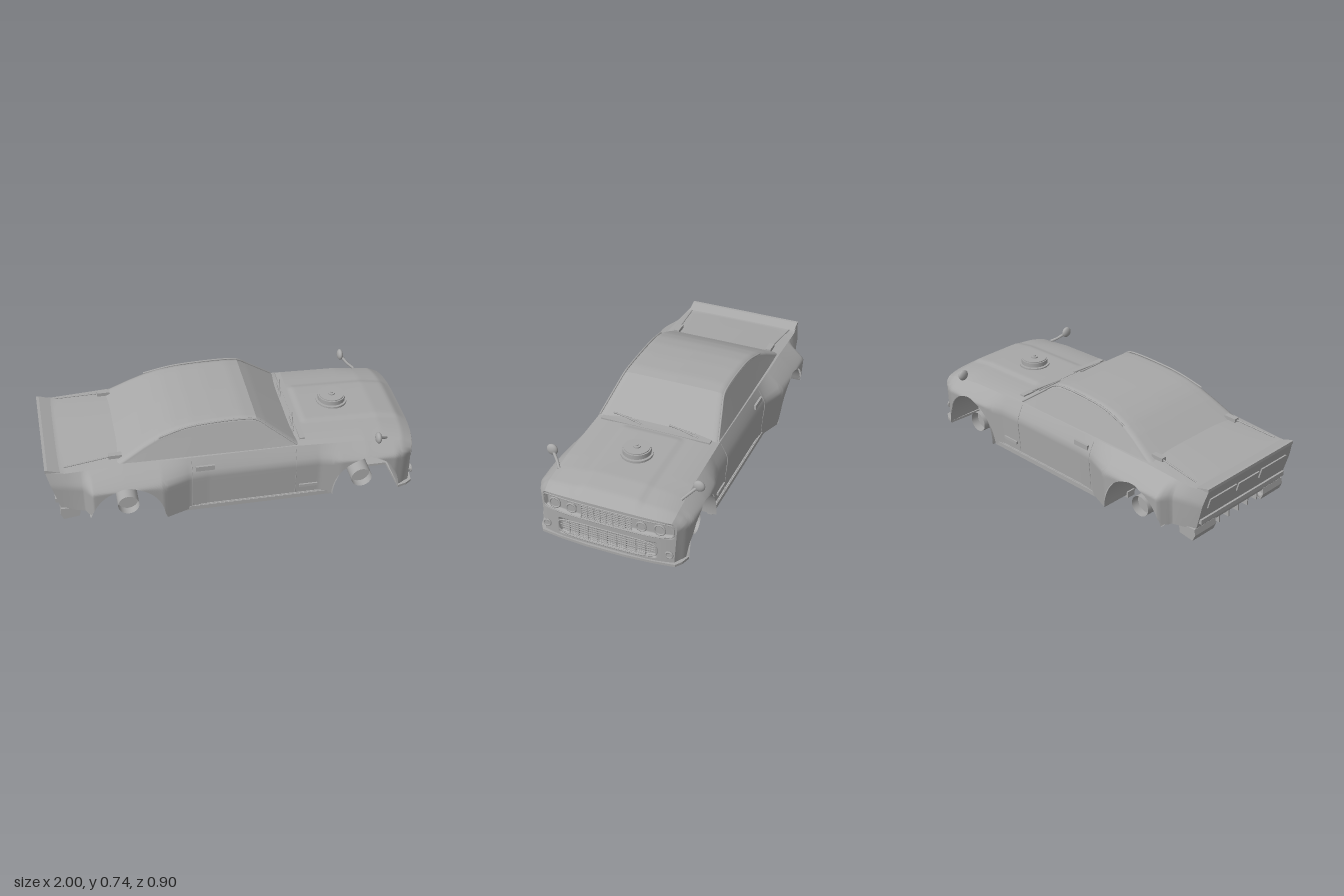
import * as THREE from 'three';

const gray = new THREE.MeshStandardMaterial({ color: 0xa8a8a8, side: THREE.DoubleSide });
gray.name = 'bodyGray';
const smooth = THREE.MathUtils.smoothstep;
const shape = pts => new THREE.Shape(pts.map(p => new THREE.Vector2(...p)));
const extrude = (pts, depth) => new THREE.ExtrudeGeometry(shape(pts), { depth, bevelEnabled: false });

// piecewise-linear lookup through [x, value] pairs
function lin(t, x) {
  if (x <= t[0][0]) return t[0][1];
  const i = t.findIndex(p => x <= p[0]);
  return i < 0 ? t[t.length - 1][1] : THREE.MathUtils.mapLinear(x, t[i - 1][0], t[i][0], t[i - 1][1], t[i][1]);
}
// smooth surface from a grid of points fn(u, v), u and v in 0..1
function surface(nu, nv, fn) {
  const pos = [], idx = [];
  for (let i = 0; i <= nu; i++) for (let j = 0; j <= nv; j++) {
    pos.push(...fn(i / nu, j / nv));
    const a = i * (nv + 1) + j, b = a + nv + 1;
    if (i < nu && j < nv) idx.push(a, b, a + 1, b, b + 1, a + 1);
  }
  const g = new THREE.BufferGeometry();
  g.setAttribute('position', new THREE.Float32BufferAttribute(pos, 3));
  g.setIndex(idx);
  g.computeVertexNormals();
  return g;
}

// body shape rules
const X0 = -1, X1 = 0.955, N = 196;
const width = x => lin([[-1, 0.345], [-0.9, 0.365], [-0.81, 0.385], [-0.77, 0.45], [-0.4, 0.45], [-0.25, 0.395],
  [-0.15, 0.387], [0.45, 0.387], [0.56, 0.415], [0.7, 0.425], [0.86, 0.42], [0.91, 0.4], [0.955, 0.37]], x);
const shoulder = x => lin([[-1, 0.33], [-0.9, 0.345], [-0.5, 0.35], [0.3, 0.345], [0.9, 0.35], [0.955, 0.345]], x);
const shoulderY = x => lin([[-1, 0.56], [-0.9, 0.55], [-0.6, 0.565], [0.3, 0.56], [0.7, 0.545], [0.9, 0.52], [0.955, 0.495]], x);
const crownY = x => lin([[-1, 0.565], [-0.92, 0.553], [-0.6, 0.58], [0.33, 0.58], [0.8, 0.565], [0.9, 0.545], [0.955, 0.512]], x);
const ARCHES = [[-0.59, 0.2], [0.705, 0.185]];
function bottom(x) {
  const arch = ([c, r]) => 0.245 + 0.235 * Math.sqrt(Math.max(0, 1 - ((x - c) / r) ** 2));
  return Math.max(x < -0.73 ? 0.31 : 0.245, ...ARCHES.map(arch));
}
function sideZ(x, y) {
  const W = width(x);
  if (y < 0.47) return W - 0.015 * (0.47 - y) / 0.225;
  const k = Math.min(1, (y - 0.47) / Math.max(0.02, shoulderY(x) - 0.47));
  return THREE.MathUtils.lerp(W, shoulder(x), Math.pow(k, 1.2));
}
const bulge = z => 0.033 * (1 - Math.min(1, Math.abs(z) / 0.37) ** 4);
const noseX = z => X1 + bulge(z);
// slope the tail forward towards the bottom and bow the nose
function bend(x, y, z) {
  const slope = x < -0.8 ? ((-0.8 - x) / 0.2) * 0.27 * (0.565 - y) : 0;
  return [x + slope + bulge(z) * smooth(x, 0.7, X1), y, z];
}
function topPoint(x, u) {
  const z = u * shoulder(x);
  const raised = 0.008 * (1 - smooth(Math.abs(z), 0.15, 0.18)) * smooth(x, 0.38, 0.42) * (1 - smooth(x, 0.88, 0.95));
  return bend(x, shoulderY(x) + (crownY(x) - shoulderY(x)) * (1 - u ** 4) + raised, z);
}

export function createModel() {
  const root = new THREE.Group();
  const add = (name, geo, x = 0, y = 0, z = 0, parent = root) => {
    const m = new THREE.Mesh(geo, gray);
    m.name = name;
    m.position.set(x, y, z);
    parent.add(m);
    return m;
  };
  const box = (name, w, h, d, x, y, z) => add(name, new THREE.BoxGeometry(w, h, d), x, y, z);
  const cyl = (r, h, axis = 'y', open = false) => {
    const g = new THREE.CylinderGeometry(r, r, h, 28, 1, open);
    if (axis === 'x') g.rotateZ(-Math.PI / 2);
    if (axis === 'z') g.rotateX(Math.PI / 2);
    return g;
  };
  const tube = (name, pts, r, closed = false, n = 32) => add(name, new THREE.TubeGeometry(
    new THREE.CatmullRomCurve3(pts.map(p => new THREE.Vector3(...p)), closed, 'centripetal'), n, r, 8, closed));

  // painted shell
  for (const s of [1, -1]) add('bodySide', surface(N, 14, (u, v) => {
    const x = X0 + u * (X1 - X0), yb = bottom(x), y = yb + (shoulderY(x) - yb) * v;
    return bend(x, y, s * sideZ(x, y));
  }));
  add('hoodAndDeck', surface(N, 48, (u, v) => topPoint(X0 + u * (X1 - X0), v * 2 - 1)));
  // nose with recessed lamp band and lower intake, then the tail
  const pocket = (z, y, zw, y0, y1) => (1 - smooth(Math.abs(z), zw - 0.008, zw)) *
    smooth(y, y0, y0 + 0.007) * (1 - smooth(y, y1 - 0.007, y1));
  const endCap = (x, y0, rows, cols, place) => surface(rows, cols, (v, w) => {
    const u = w * 2 - 1;
    if (v === 1) return topPoint(x, u);
    const y = y0 + v * rows / (rows - 1) * (shoulderY(x) - y0);
    return place(y, u * sideZ(x, y));
  });
  add('nose', endCap(X1, 0.245, 64, 120, (y, z) => {
    const dent = Math.max(pocket(z, y, 0.35, 0.402, 0.49), pocket(z, y, 0.265, 0.27, 0.365));
    return [noseX(z) - 0.022 * dent, y, z];
  }));
  add('tailPanel', endCap(X0, 0.31, 24, 24, (y, z) => bend(X0, y, z)));

  // cabin, split at the glass edges
  const roofY = x => lin([[-0.63, 0.568], [-0.56, 0.606], [-0.48, 0.65], [-0.4, 0.688], [-0.32, 0.714], [-0.22, 0.73],
    [-0.1, 0.737], [0.05, 0.737], [0.12, 0.727], [0.17, 0.693], [0.34, 0.565]], x);
  const roofZ = x => 0.343 - (roofY(x) - 0.56) * 0.34;
  const cabinPoint = (x, w) => {
    const h = roofY(x), T = roofZ(x), k = Math.abs(w * 2 - 1) * 6;
    const z = lin([[0, 0], [3, T * 0.75], [4, T - 0.02], [4.5, T], [5, T + 0.006], [6, 0.345]], k);
    const y = lin([[0, h], [3, h - 0.001], [4, h - 0.003], [4.5, h - 0.012], [5, Math.max(0.55, h - 0.03)], [6, 0.55]], k);
    return [x, y, Math.sign(w - 0.5) * z];
  };
  for (const [name, a, b] of [['rearGlass', -0.63, -0.42], ['roof', -0.42, 0.12], ['windshield', 0.12, 0.34]])
    add(name, surface(24, 48, (u, w) => cabinPoint(a + u * (b - a), w)));

  // parts found on both sides
  for (const s of [1, -1]) {
    tube('roofRail', [-0.4, -0.25, -0.1, 0.05, 0.12, 0.2, 0.33].map(x => [x, roofY(x) - 0.008, s * (roofZ(x) + 0.001)]), 0.005);
    box('doorHandle', 0.1, 0.028, 0.012, -0.17, 0.51, s * 0.38);
    box('sideVent', 0.1, 0.016, 0.012, 0.39, 0.315, s * 0.38);
    box('sillSkirt', 0.9, 0.025, 0.03, 0.07, 0.25, s * 0.37);
    for (const x of [-0.24, 0.32]) tube('doorSeam', [0.27, 0.35, 0.47, 0.51, 0.55].map(y => [x, y, s * sideZ(x, y)]), 0.002);
    box('deckHinge', 0.07, 0.02, 0.03, -0.63, 0.585, s * 0.285);
    tube('deckStrut', [[-0.62, 0.587, s * 0.285], [-0.9, 0.565, s * 0.31]], 0.004);
    // fender mirrors
    tube('mirrorStalk', [[0.82, 0.54, s * 0.335], [0.79, 0.56, s * 0.36], [0.76, 0.59, s * 0.395]], 0.008);
    add('mirror', new THREE.SphereGeometry(0.031, 24, 16), 0.755, 0.597, s * 0.403).scale.x = 0.55;
    // lamps
    for (const [name, z, y, r, sink] of [['headlamp', 0.285, 0.447, 0.028, 0.012], ['innerLamp', 0.19, 0.447, 0.025, 0.012],
      ['fogLamp', 0.335, 0.308, 0.018, -0.003]]) {
      add(name, cyl(r * 0.8, 0.018, 'x'), noseX(z) - sink, y, s * z);
      add(name + 'Ring', new THREE.TorusGeometry(r, 0.005, 8, 28).rotateY(Math.PI / 2), noseX(z) - sink + 0.008, y, s * z);
    }
    box('tailLamp', 0.01, 0.06, 0.2, -0.977, 0.47, s * 0.2).rotation.z = 0.26;
    // wheel wells, hubs and suspension
    for (const [c, r] of ARCHES) {
      add('wheelWell', surface(24, 1, (u, v) => {
        const x = c - r * Math.cos(u * Math.PI);
        return [x, bottom(x), s * (v ? sideZ(c, 0.4) - 0.012 : 0.2)];
      }));
      const hx = c < 0 ? c + 0.01 : c - 0.012;
      add('hub', cyl(0.057, 0.13, 'z', true), hx, 0.305, s * 0.3);
      add('hubDisc', cyl(0.056, 0.02, 'z'), hx, 0.305, s * 0.31);
      add('damper', cyl(0.016, 0.15), hx, 0.39, s * 0.23);
      for (let i = 0; i < 6; i++) add('spring', new THREE.TorusGeometry(0.03, 0.006, 6, 20).rotateX(Math.PI / 2), hx, 0.35 + i * 0.02, s * 0.23);
      box('controlArm', 0.05, 0.018, 0.2, hx, 0.27, s * 0.17);
    }
    // chassis, exhaust and lower rear valance
    box('chassisRail', 0.92, 0.035, 0.05, 0.06, 0.248, s * 0.24);
    tube('exhaust', [[0.5, 0.25, s * 0.1], [-0.35, 0.25, s * 0.12], [-0.46, 0.27, s * 0.15], [-0.54, 0.36, s * 0.17],
      [-0.66, 0.385, s * 0.17], [-0.78, 0.34, s * 0.18], [-0.93, 0.275, s * 0.19]], 0.016, false, 48);
    add('rearValance', extrude([[-0.935, 0.32], [-0.94, 0.285], [-0.925, 0.25], [-0.84, 0.262], [-0.83, 0.32]], 0.16), 0, 0, s * 0.27 - 0.08);
  }

  // grilles
  const outline = (name, zw, ym, yh, p) => tube(name, Array.from({ length: 40 }, (_, i) => {
    const c = Math.cos(i * Math.PI / 20), d = Math.sin(i * Math.PI / 20);
    const z = zw * Math.sign(c) * Math.abs(c) ** p;
    return [noseX(z), ym + yh * Math.sign(d) * Math.abs(d) ** p, z];
  }), 0.004, true, 120);
  outline('lampBandFrame', 0.355, 0.447, 0.045, 0.3);
  outline('intakeFrame', 0.27, 0.3175, 0.0495, 0.5);
  const bar = (name, y, zw) => tube(name, [-1, -0.5, 0, 0.5, 1].map(k => [noseX(k * zw) - 0.008, y, k * zw]), 0.003);
  for (let i = 0; i < 8; i++) bar('grilleSlat', 0.408 + i * 0.0115, 0.14);
  for (let i = 0; i < 7; i++) bar('intakeSlat', 0.278 + i * 0.0133, 0.262 - 0.006 * (i - 3) ** 2);
  for (let i = -4; i <= 4; i++) {
    box('grilleUpright', 0.008, 0.09, 0.004, 0.978, 0.447, i * 0.034);
    box('intakeUpright', 0.008, 0.09, 0.004, noseX(i * 0.052) - 0.01, 0.317, i * 0.052);
  }

  // flat panels with a plan outline mirrored across the centre line
  const plate = (name, half, y, t) => add(name,
    extrude([...half, ...half.map(([x, z]) => [x, -z]).reverse()], t).rotateX(Math.PI / 2), 0, y);
  plate('frontLip', [[0.5, 0.2], [0.88, 0.2], [0.89, 0.405], [0.94, 0.39], [0.975, 0.365], [0.99, 0.25], [1, 0.1]], 0.253, 0.014);
  plate('floor', [[-0.39, 0.38], [0.52, 0.38]], 0.265, 0.012);
  plate('frontInnerPanel', [[0.5, 0.36], [0.93, 0.35]], 0.46, 0.01);
  plate('rearFloor', [[-0.92, 0.33], [-0.39, 0.36]], 0.43, 0.01);

  // rear lip, bumper and diffuser fins
  add('rearSpoiler', extrude([[-1, 0.557], [-1, 0.574], [-0.985, 0.573], [-0.92, 0.552]], 0.67), 0, 0, -0.335);
  for (let i = -2; i <= 2; i++) box('diffuserFin', 0.16, 0.06, 0.008, -0.85, 0.3, i * 0.075);
  box('rearBumper', 0.025, 0.025, 0.66, -0.948, 0.365, 0);
  box('tailCentre', 0.01, 0.05, 0.16, -0.977, 0.47, 0).rotation.z = 0.26;

  // hood air cleaner and wipers
  for (const [r, h, y] of [[0.085, 0.02, 0.579], [0.06, 0.03, 0.593], [0.075, 0.025, 0.605], [0.068, 0.006, 0.62],
    [0.02, 0.012, 0.624], [0.008, 0.01, 0.631]]) add('airCleaner', cyl(r, h), 0.6, y, 0);
  for (const z of [0.2, -0.12]) {
    tube('wiperArm', [[0.36, 0.582, z - 0.12], [0.335, 0.592, z], [0.325, 0.594, z + 0.06]], 0.004);
    tube('wiperBlade', [[0.335, 0.582, z - 0.09], [0.325, 0.592, z + 0.06]], 0.004);
  }
  box('cowlVent', 0.03, 0.008, 0.62, 0.365, 0.577, 0);

  // drivetrain under the floor
  tube('driveshaft', [[0.5, 0.27, 0], [-0.58, 0.3, 0]], 0.022);
  add('rearAxle', cyl(0.024, 0.56, 'z'), -0.58, 0.305, 0);
  add('differential', new THREE.SphereGeometry(0.06, 20, 14), -0.57, 0.29, 0);
  box('muffler', 0.13, 0.04, 0.22, -0.55, 0.24, 0);
  box('gearbox', 0.25, 0.05, 0.14, 0.36, 0.26, 0);
  box('frontCrossmember', 0.06, 0.03, 0.42, 0.69, 0.265, 0);
  box('engineBlock', 0.24, 0.14, 0.2, 0.66, 0.39, 0);

  // the single loose wheel under the middle, open at its back
  const wheel = new THREE.Group();
  wheel.name = 'wheel';
  wheel.position.set(0.055, 0.15, 0);
  root.add(wheel);
  const tyre = [[0.108, -0.088], [0.132, -0.09], [0.144, -0.086], [0.15, -0.072], [0.15, 0.072], [0.144, 0.086], [0.132, 0.09],
    [0.114, 0.088], [0.108, 0.07], [0.1, 0.04], [0.1, -0.06], [0.108, -0.088]].map(p => new THREE.Vector2(...p));
  add('tyre', new THREE.LatheGeometry(tyre, 56).rotateX(Math.PI / 2), 0, 0, 0, wheel);
  add('rimEdge', new THREE.TorusGeometry(0.109, 0.005, 8, 48), 0, 0, 0.08, wheel);
  add('wheelHub', cyl(0.028, 0.035, 'z'), 0, 0, 0.058, wheel);
  for (let i = 0; i < 10; i++)
    add('spoke', new THREE.BoxGeometry(0.09, 0.015, 0.018).translate(0.062, 0, 0), 0, 0, 0.062, wheel).rotation.z = i * Math.PI / 5;
  return root;
}
